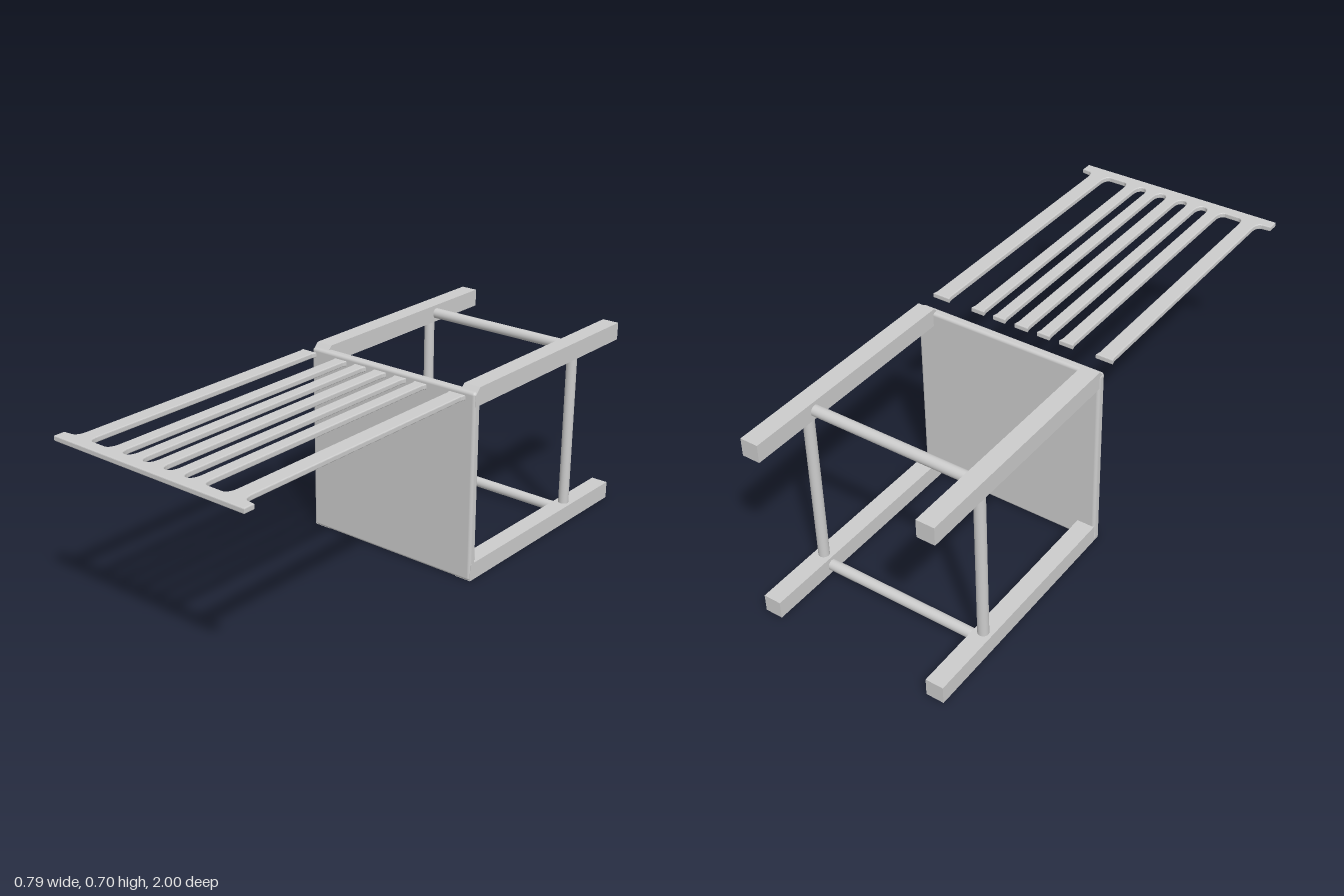
import * as THREE from 'three';
import { RoundedBoxGeometry } from 'three/addons/geometries/RoundedBoxGeometry.js';

const material = new THREE.MeshStandardMaterial({ color: 0xcccccc });

export function createModel() {
  const chair = new THREE.Group();
  chair.name = 'chairLyingOnItsBack';
  const add = (name, geometry, x = 0, y = 0, z = 0) => {
    const mesh = new THREE.Mesh(geometry, material);
    mesh.name = name;
    mesh.position.set(x, y, z);
    chair.add(mesh);
    return mesh;
  };

  // Seat panel, standing upright
  add('seat', new RoundedBoxGeometry(0.706, 0.69, 0.034, 3, 0.011), -0.001, 0.348, -0.128);

  // Four square legs; the upper pair has a chamfered front corner beside the seat
  const legX = 0.32, lowY = 0.035, highY = 0.675, half = 0.032;
  for (const side of [-1, 1]) {
    for (const y of [lowY, highY]) {
      const cut = y === highY ? 0.024 : 0.002;
      const profile = new THREE.Shape([
        [1, y - half], [1, y + half], [0.14, y + half],
        [0.116, y + half - cut], [0.116, y - half],
      ].map(([a, b]) => new THREE.Vector2(a, b)));
      const leg = new THREE.ExtrudeGeometry(profile, { depth: 2 * half, bevelEnabled: false });
      leg.translate(0, 0, -half).rotateY(Math.PI / 2);
      add('leg', leg, side * legX, 0, 0);
    }
  }

  // Round stretchers joining the legs in a square
  const stretcherZ = -0.745, radius = 0.019;
  for (const x of [-legX, legX]) {
    add('sideStretcher', new THREE.CylinderGeometry(radius, radius, 0.6, 24), x, 0.355, stretcherZ);
  }
  for (const y of [lowY, highY]) {
    add('crossStretcher', new THREE.CylinderGeometry(radius, radius, 0.6, 24), 0, y, stretcherZ)
      .rotation.z = Math.PI / 2;
  }

  // Backrest: top rail and slats in one outline, with filleted roots and flared free ends
  const slats = [ // centre x, width
    [0.319, 0.058], [0.17, 0.043], [0.085, 0.041], [-0.002, 0.044],
    [-0.088, 0.041], [-0.175, 0.045], [-0.318, 0.055],
  ];
  const railZ = 0.955, rootZ = 0.915, endZ = -0.058, fillet = 0.019, flare = 0.004;
  const outline = new THREE.Shape();
  outline.moveTo(-0.398, 0.999);
  outline.lineTo(0.394, 0.999);
  outline.lineTo(0.394, railZ + 0.003);
  for (const [x, width] of slats) {
    const r = x + width / 2, l = x - width / 2;
    outline.lineTo(r + fillet, railZ);
    outline.quadraticCurveTo(r, railZ - 0.004, r, rootZ);
    outline.lineTo(r, endZ + 0.018);
    outline.lineTo(r + flare, endZ);
    outline.lineTo(l - flare, endZ);
    outline.lineTo(l, endZ + 0.018);
    outline.lineTo(l, rootZ);
    outline.quadraticCurveTo(l, railZ - 0.004, l - fillet, railZ);
  }
  outline.lineTo(-0.398, railZ + 0.003);
  outline.closePath();
  const bevel = 0.004;
  const back = new THREE.ExtrudeGeometry(outline, {
    depth: 0.011, curveSegments: 6, bevelEnabled: true,
    bevelThickness: bevel, bevelSize: bevel, bevelOffset: -bevel, bevelSegments: 3,
  });
  back.rotateX(Math.PI / 2);
  add('backrest', back, 0, 0.7, 0);

  return chair;
}
